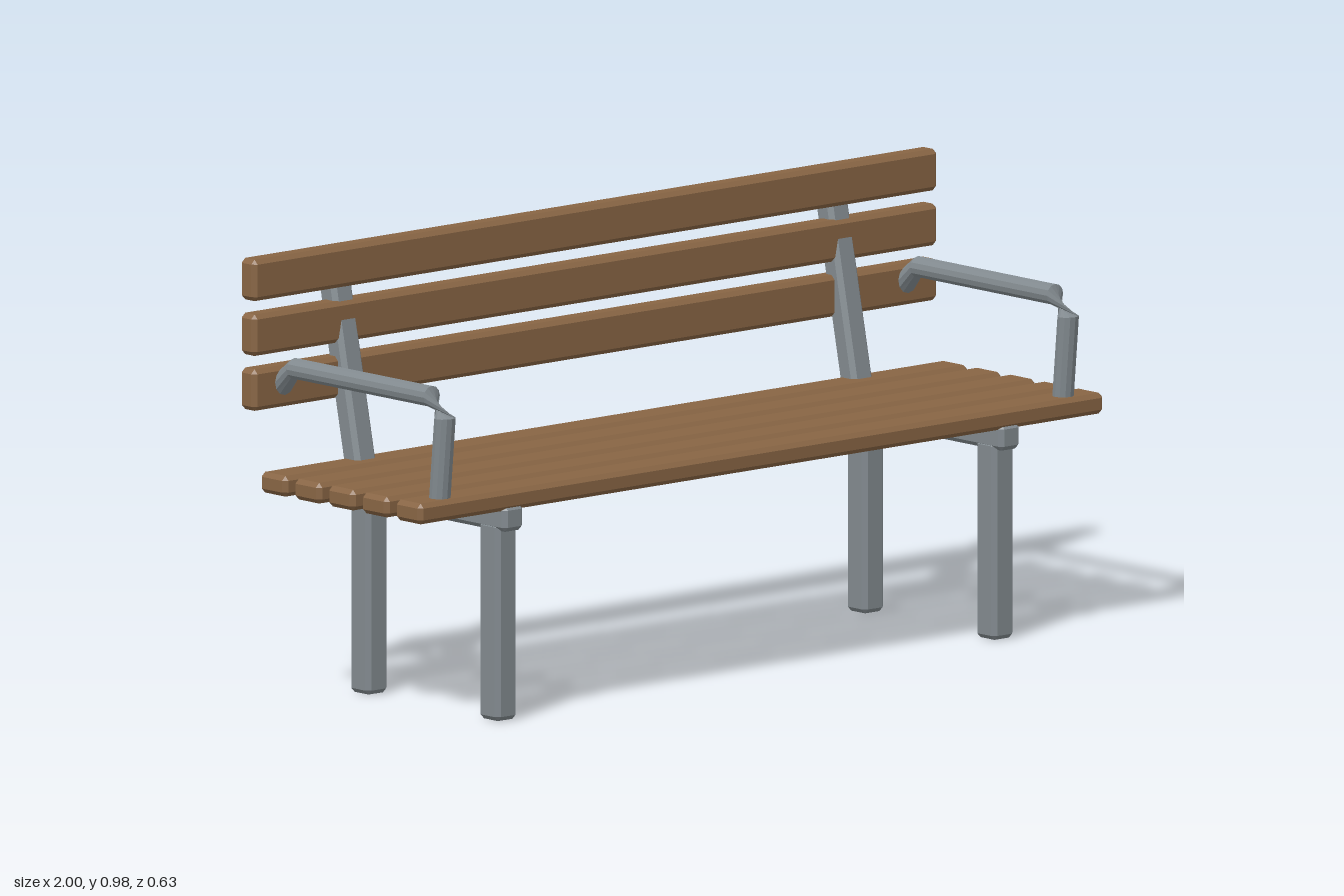
import * as THREE from 'three';
import { ConvexGeometry } from 'three/addons/geometries/ConvexGeometry.js';

// Box with bevelled edges: three points near every corner
function bevelBox(w, h, d, b = 0.01) {
  const pts = [];
  for (const x of [-1, 1]) for (const y of [-1, 1]) for (const z of [-1, 1]) {
    const [X, Y, Z] = [w / 2, h / 2, d / 2];
    pts.push(
      new THREE.Vector3(x * X, y * (Y - b), z * (Z - b)),
      new THREE.Vector3(x * (X - b), y * Y, z * (Z - b)),
      new THREE.Vector3(x * (X - b), y * (Y - b), z * Z));
  }
  return new ConvexGeometry(pts);
}

// Tube through rings [z, y, radius, tilt, twist] in the side plane
function ringTube(rings, sides = 12) {
  const pos = [], idx = [];
  const point = ([z, y, r, tilt, twist], a) => {
    const n = r * Math.sin(a + twist);
    return [r * Math.cos(a + twist), y + n * Math.sin(tilt), z + n * Math.cos(tilt)];
  };
  for (const ring of rings)
    for (let i = 0; i < sides; i++) pos.push(...point(ring, i / sides * Math.PI * 2));
  for (let k = 0; k < rings.length - 1; k++)
    for (let i = 0; i < sides; i++) {
      const j = (i + 1) % sides, a = k * sides + i, b = k * sides + j;
      idx.push(a, a + sides, b, b, a + sides, b + sides);
    }
  // end caps
  const last = (rings.length - 1) * sides;
  for (let i = 1; i < sides - 1; i++) {
    idx.push(0, i, i + 1);
    idx.push(last, last + i + 1, last + i);
  }
  const g = new THREE.BufferGeometry();
  g.setAttribute('position', new THREE.Float32BufferAttribute(pos, 3));
  g.setIndex(idx);
  const flat = g.toNonIndexed();
  flat.computeVertexNormals();
  return flat;
}

export function createModel() {
  const bench = new THREE.Group();
  bench.name = 'bench';
  const wood = new THREE.MeshStandardMaterial({ color: 0x886544 });
  wood.name = 'wood';
  const metal = new THREE.MeshStandardMaterial({ color: 0x81898e, side: THREE.DoubleSide });
  metal.name = 'greyMetal';

  const add = (name, geo, mat, x, y, z) => {
    const m = new THREE.Mesh(geo, mat);
    m.name = name;
    m.position.set(x, y, z);
    bench.add(m);
    return m;
  };

  // Seat slats
  const seatSlat = bevelBox(2, 0.046, 0.086);
  for (let i = 0; i < 5; i++) add('seatSlat', seatSlat, wood, 0, 0.492, 0.268 - i * 0.1105);

  // Back slats
  const backSlat = bevelBox(2, 0.092, 0.05);
  for (let i = 0; i < 3; i++) add('backSlat', backSlat, wood, 0, 0.691 + i * 0.1215, -0.257);

  const leg = bevelBox(0.062, 0.44, 0.065);
  const rail = bevelBox(0.06, 0.058, 0.53);
  const post = bevelBox(0.06, 0.525, 0.053);

  // Armrest: upright, pinched half-twist elbow, long bar, bend into the back
  const armrest = ringTube([
    [0.272, 0.49, 0.024, 0, 0],
    [0.291, 0.693, 0.024, 0.05, 0],
    [0.248, 0.735, 0.0235, Math.PI / 2, Math.PI],
    [-0.2, 0.735, 0.0235, Math.PI / 2, Math.PI],
    [-0.25, 0.685, 0.032, Math.PI / 2 + 0.1, Math.PI],
  ]);

  for (const s of [-1, 1]) {
    const x = s * 0.725;
    add('frontLeg', leg, metal, x, 0.22, 0.258);
    add('rearLeg', leg, metal, x, 0.22, -0.165);
    add('seatRail', rail, metal, x, 0.451, 0.047);
    add('backPost', post, metal, x, 0.707, -0.236).rotation.x = -0.207;
    add('armrest', armrest, metal, s * 0.91, 0, 0);
  }
  return bench;
}
